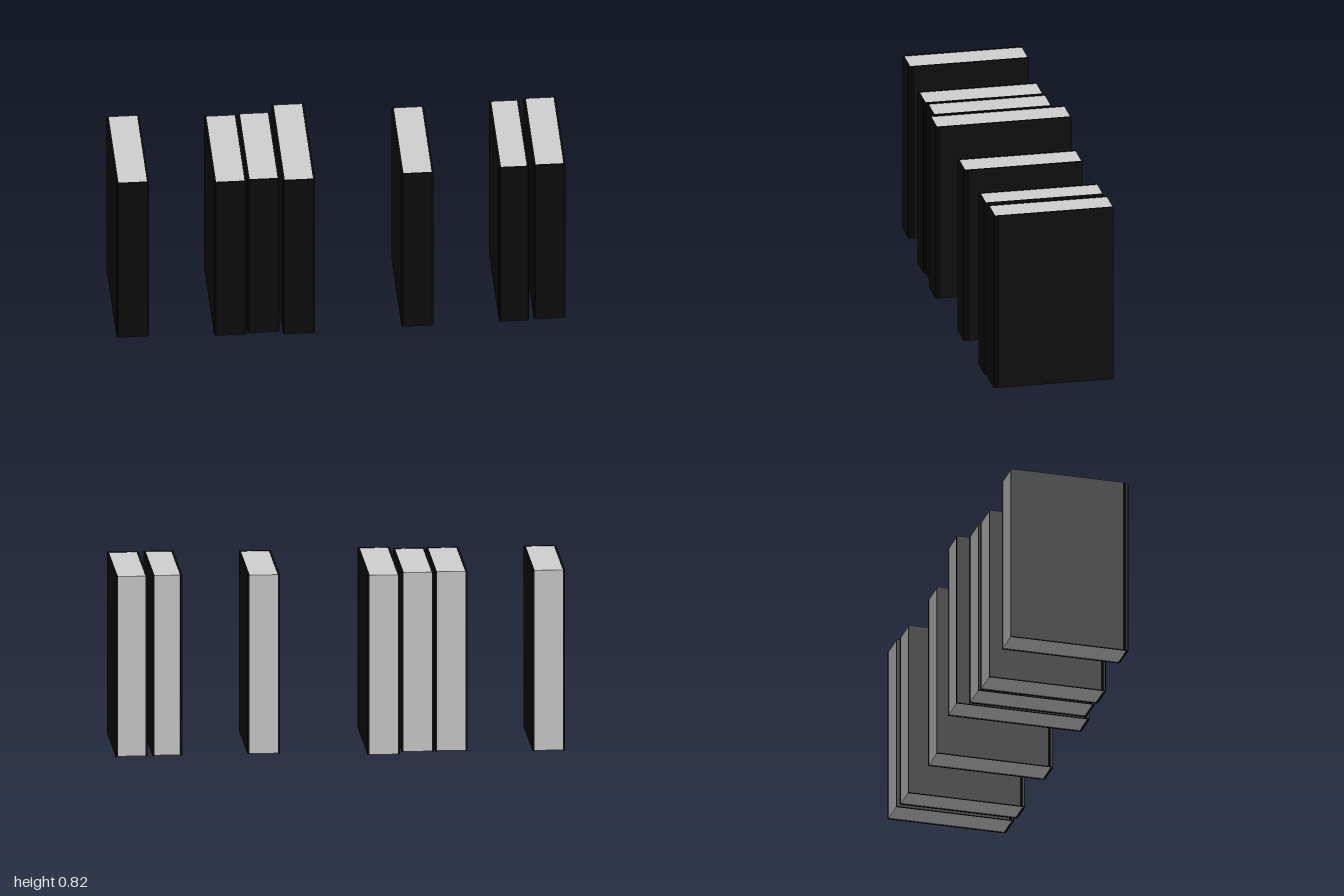
import * as THREE from 'three';

const COVER = 0.009; // board thickness
const INSET = 0.002; // pages sit just inside the cover

// Left, right, back, front and height of each book
const BOOKS = [
  [-1.0, -0.855, -0.27, 0.275, 0.82],
  [-0.567, -0.422, -0.245, 0.296, 0.815],
  [-0.417, -0.274, -0.252, 0.287, 0.815],
  [-0.262, -0.118, -0.308, 0.308, 0.817],
  [0.268, 0.412, -0.247, 0.292, 0.813],
  [0.703, 0.836, -0.254, 0.287, 0.819],
  [0.858, 1.0, -0.265, 0.28, 0.819],
];

// U-shaped wrap: two boards joined by a spine with softened corners and hinge grooves
function coverGeometry(w, d, h) {
  const x = w / 2, z = d / 2, t = COVER;
  const side = [
    [x, z], [x, -z + 0.026], [x - 0.004, -z + 0.02], [x, -z + 0.014],
    [x - 0.001, -z + 0.006], [x - 0.008, -z],
  ];
  const outer = [...side, ...side.map(([a, b]) => [-a, b]).reverse()];
  const inner = [[-x + t, z], [-x + t, -z + t], [x - t, -z + t], [x - t, z]];
  const shape = new THREE.Shape([...outer, ...inner].map(([a, b]) => new THREE.Vector2(a, b)));
  const geometry = new THREE.ExtrudeGeometry(shape, { depth: h, bevelEnabled: false });
  return geometry.rotateX(-Math.PI / 2);
}

export function createModel() {
  const coverMaterial = new THREE.MeshStandardMaterial({ color: 0x0e0e0e });
  coverMaterial.name = 'black cover';
  const pageMaterial = new THREE.MeshStandardMaterial({ color: 0xcfcfcf });
  pageMaterial.name = 'pale pages';

  const model = new THREE.Group();
  model.name = 'bookRow';

  BOOKS.forEach(([x0, x1, z0, z1, h], i) => {
    const w = x1 - x0, d = z1 - z0;
    const book = new THREE.Group();
    book.name = `book${i + 1}`;
    book.position.set((x0 + x1) / 2, 0, (z0 + z1) / 2);

    const cover = new THREE.Mesh(coverGeometry(w, d, h), coverMaterial);
    cover.name = 'cover';

    // Page block, open at the top, bottom and back
    const pages = new THREE.Mesh(
      new THREE.BoxGeometry(w - 2 * COVER, h - 2 * INSET, d - COVER - INSET), pageMaterial);
    pages.name = 'pages';
    pages.position.set(0, h / 2, (INSET - COVER) / 2);

    book.add(cover, pages);
    model.add(book);
  });
  return model;
}
